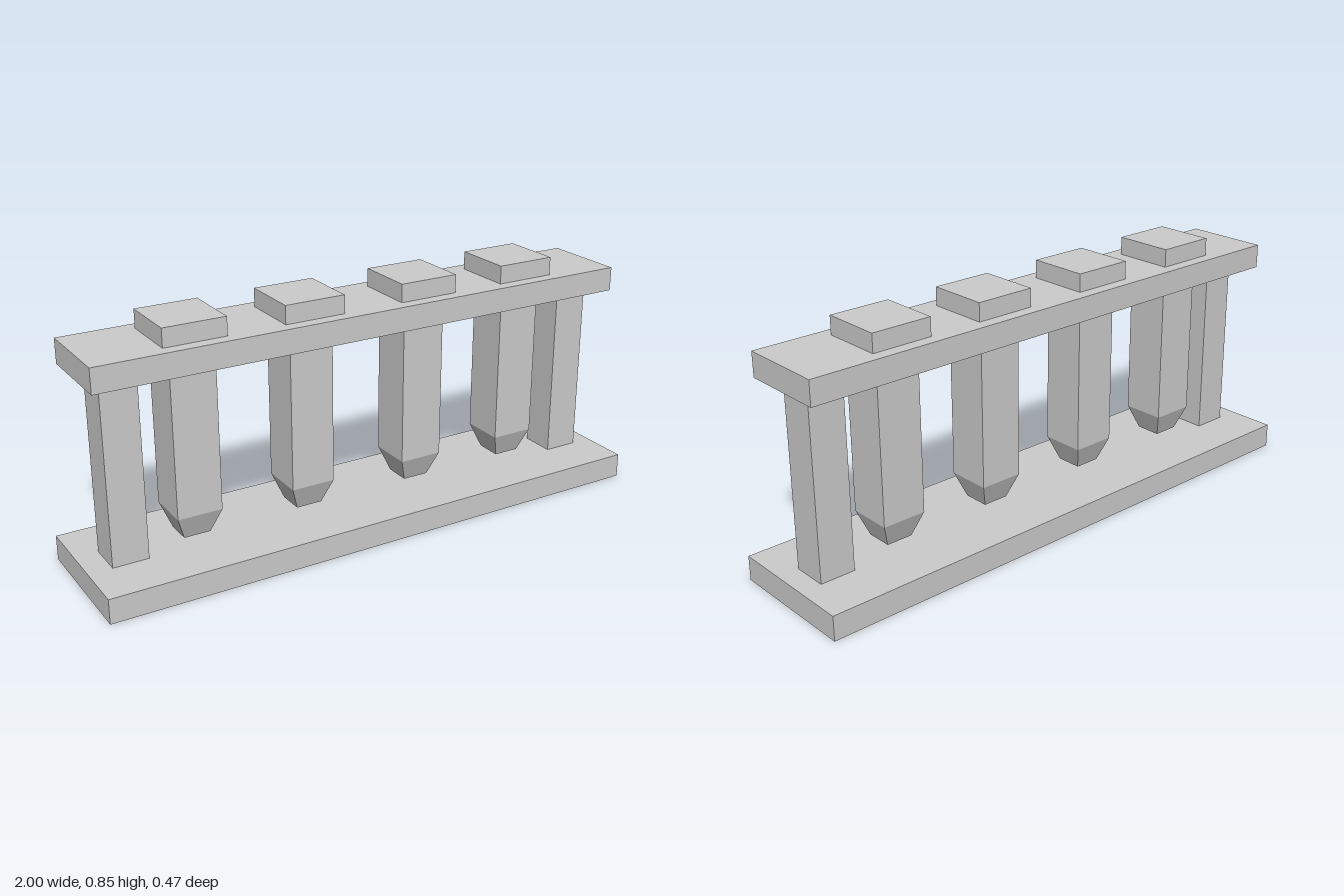
import * as THREE from 'three';

const material = new THREE.MeshStandardMaterial({ color: 0xcccccc, flatShading: true });

export function createModel() {
  const model = new THREE.Group();
  model.name = 'tubeRack';

  const add = (parent, name, geometry, x, y) => {
    const mesh = new THREE.Mesh(geometry, material);
    mesh.name = name;
    mesh.position.set(x, y, 0);
    parent.add(mesh);
  };

  // Box given by its width, depth and vertical range
  const slab = (parent, name, x, width, depth, y0, y1) =>
    add(parent, name, new THREE.BoxGeometry(width, y1 - y0, depth), x, (y0 + y1) / 2);

  // Base plate and the rail that carries the tubes
  slab(model, 'base', 0, 2, 0.467, 0, 0.086);
  slab(model, 'rail', 0, 1.942, 0.3, 0.706, 0.79);

  // End posts
  slab(model, 'rightPost', -0.858, 0.123, 0.125, 0.086, 0.706);
  slab(model, 'leftPost', 0.865, 0.123, 0.125, 0.086, 0.706);

  // Hanging square tubes: cap above the rail, body and tapered tip below
  const tubeWidth = 0.155, tipWidth = 0.092;
  const tipBottom = 0.115, tipTop = 0.2;
  const tipGeometry = new THREE.CylinderGeometry(
    tubeWidth * Math.SQRT1_2, tipWidth * Math.SQRT1_2, tipTop - tipBottom, 4
  ).rotateY(Math.PI / 4);

  for (const x of [-0.622, -0.21, 0.219, 0.619]) {
    const tube = new THREE.Group();
    tube.name = 'tube';
    tube.position.x = x;
    slab(tube, 'tubeCap', 0, 0.213, 0.213, 0.79, 0.853);
    slab(tube, 'tubeBody', 0, tubeWidth, tubeWidth, tipTop, 0.706);
    add(tube, 'tubeTip', tipGeometry, 0, (tipBottom + tipTop) / 2);
    model.add(tube);
  }

  return model;
}
